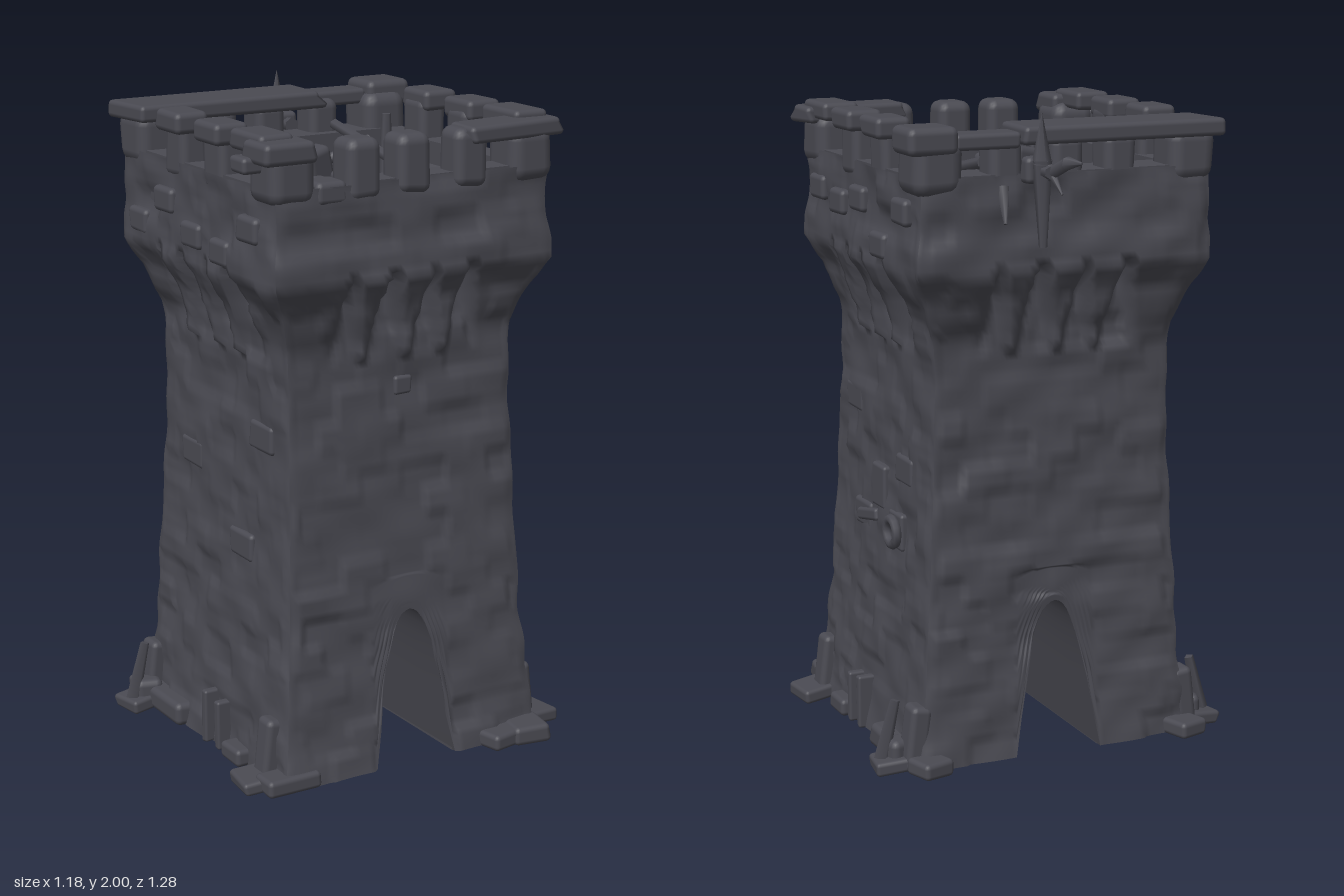
import * as THREE from 'three';
import { RoundedBoxGeometry } from 'three/addons/geometries/RoundedBoxGeometry.js';
import { ParametricGeometry } from 'three/addons/geometries/ParametricGeometry.js';

const stone = new THREE.MeshStandardMaterial({ color: 0x4a4a52 });
stone.name = 'dark stone';

const TOP = 1.815, ARCH = 0.132;
// half width of the tower at each height
const PROFILE = [[0, 0.468], [0.1, 0.452], [0.4, 0.425], [0.8, 0.404], [1.2, 0.39], [1.33, 0.4],
  [1.45, 0.44], [1.53, 0.485], [1.6, 0.485], [1.66, 0.472], [1.82, 0.474]];

const { lerp, clamp } = THREE.MathUtils;
const hash = (a, b = 0, c = 0) => {
  const s = Math.sin(a * 127.1 + b * 311.7 + c * 74.7) * 43758.5453;
  return s - Math.floor(s);
};
function halfWidth(y) {
  for (let i = 1; i < PROFILE.length; i++) {
    const [y0, w0] = PROFILE[i - 1], [y1, w1] = PROFILE[i];
    if (y <= y1) return lerp(w0, w1, (y - y0) / (y1 - y0));
  }
  return 0.474;
}
const centreZ = (y) => 0.09 - 0.025 * y;
const lumps = (x, y, z) => 0.008 * Math.sin(9 * x + 13 * y + 2) * Math.sin(11 * z - 7 * y)
  + 0.008 * Math.sin(33 * y + 8 * x) * Math.cos(23 * z + 19 * x);
const archHeight = (x) => {
  const t = Math.abs(x) / ARCH;
  return t >= 0.995 ? 0 : 0.49 * (1 - Math.pow(t, 2.6)) - 0.025 * t * (1 - t);
};

// point on wall k (0 front, 1 left, 2 back, 3 right), u from -1 to 1 across
function wallPoint(k, u, y, target) {
  const w = halfWidth(y), x = u * w;
  let d = w;
  // overhang with tapering brackets and deep recesses between them
  if (y > 1.27 && y < 1.55) {
    const rise = (y - 1.29) / 0.26;
    const gaps = [-0.15, 0, 0.125].map((c) => Math.abs(x - c) - 0.05 * rise - 0.006);
    const bracket = 1 - clamp(Math.min(...gaps) / 0.02, 0, 1);
    const corner = 1 - clamp((0.27 - 0.05 * rise - Math.abs(x)) / 0.03, 0, 1);
    d = lerp(0.388, w, Math.max(bracket, corner)) + bracket * (0.006 + 0.02 * (1 - rise));
  }
  // uneven masonry courses
  const row = Math.floor(y / 0.085);
  const col = Math.floor(x / 0.15 + 0.5 * (row % 2));
  if (Math.abs(u) < 0.94) d += 0.014 * (hash(row, col, k) - 0.5);
  const [px, pz] = [[x, d], [d, -x], [-x, -d], [-d, x]][k];
  // soften the vertical corners a little
  const s = (1 + 1.2 * lumps(px, y, pz)) * (1 - 0.018 * Math.pow(Math.abs(u), 16));
  return target.set(px * s, y, pz * s + centreZ(y));
}

function surface(fn, nu, nv) {
  const g = new ParametricGeometry(fn, nu, nv);
  g.computeVertexNormals();
  return g;
}

export function createModel() {
  const tower = new THREE.Group();
  tower.name = 'ruined tower';
  const roofDebris = new THREE.Group();
  roofDebris.name = 'roofDebris';
  roofDebris.position.y = 0.06;
  tower.add(roofDebris);
  let parent = tower;
  const add = (name, geometry, pos = [0, 0, 0], rot = [0, 0, 0]) => {
    const m = new THREE.Mesh(geometry, stone);
    m.name = name;
    m.position.set(...pos);
    m.rotation.set(...rot);
    parent.add(m);
    return m;
  };
  // worn block given by its extents
  let seed = 1;
  const block = (name, x0, x1, y0, y1, z0, z1, rot) => {
    const w = x1 - x0, h = y1 - y0, d = z1 - z0, r = Math.min(w, h, d) * 0.28;
    const g = new RoundedBoxGeometry(w, h, d, 2, r), p = g.attributes.position, n = seed++;
    for (let i = 0; i < p.count; i++) {
      const sx = Math.sign(p.getX(i)), sy = Math.sign(p.getY(i)), sz = Math.sign(p.getZ(i));
      const k = 1 - 0.1 * hash(sx + 2 * sy + 5 * sz, n);
      p.setXYZ(i, p.getX(i) * k, p.getY(i) * (sy > 0 ? 1 : k), p.getZ(i) * k);
    }
    return add(name, g, [(x0 + x1) / 2, (y0 + y1) / 2, (z0 + z1) / 2], rot);
  };
  const rod = (name, a, b, r0, r1 = r0, sides = 6) => {
    const A = new THREE.Vector3(...a), B = new THREE.Vector3(...b), dir = B.clone().sub(A);
    const m = add(name, new THREE.CylinderGeometry(r1, r0, dir.length(), sides), A.clone().add(B).multiplyScalar(0.5).toArray());
    m.quaternion.setFromUnitVectors(new THREE.Vector3(0, 1, 0), dir.normalize());
  };

  // four walls; front and back start at the arch line
  ['frontWall', 'leftWall', 'backWall', 'rightWall'].forEach((name, k) => {
    add(name, surface((s, t, target) => {
      const u = 2 * s - 1;
      const low = k % 2 ? 0.01 : Math.max(0.01, archHeight(u * 0.44));
      const y = t < 0.375 ? lerp(low, 0.6, t / 0.375) : lerp(0.6, TOP, (t - 0.375) / 0.625);
      wallPoint(k, u, y, target);
    }, 60, 96));
  });

  // passage running through the tower
  const front = new THREE.Vector3(), back = new THREE.Vector3();
  add('archPassage', surface((s, t, target) => {
    const u = (2 * s - 1) * 0.3, y = Math.max(0.01, archHeight(u * 0.44));
    wallPoint(0, u, y, front);
    wallPoint(2, -u, y, back);
    target.lerpVectors(back, front, t);
  }, 18, 8));
  for (const s of [-1, 1]) add('footing', new THREE.BoxGeometry(0.32, 0.02, 0.9), [s * 0.3, 0.018, 0.09]);

  // parapet ring and roof floor
  const path = (P, x0, x1, z0, z1) => new P([[x0, -z1], [x1, -z1], [x1, -z0], [x0, -z0]].map((p) => new THREE.Vector2(...p)));
  const ring = path(THREE.Shape, -0.462, 0.462, -0.415, 0.505);
  ring.holes.push(path(THREE.Path, -0.37, 0.38, -0.27, 0.41));
  add('parapet', new THREE.ExtrudeGeometry(ring, { depth: 0.2, bevelEnabled: false }), [0, 1.617, 0], [-Math.PI / 2, 0, 0]);
  add('roofFloor', new THREE.BoxGeometry(0.86, 0.04, 0.84), [0, 1.65, 0.045]);
  // sloping fillets where the floor meets the parapet
  for (const s of [-1, 1]) add('floorFillet', new THREE.BoxGeometry(0.12, 0.04, 0.68), [s * 0.345, 1.69, 0.07], [0, 0, s * 0.9]);
  add('floorFillet', new THREE.BoxGeometry(0.74, 0.04, 0.14), [0, 1.69, 0.385], [-0.9, 0, 0]);

  // corner merlons
  for (const x of [-0.41, 0.41]) for (const z of [-0.36, 0.45]) {
    block('cornerMerlon', x - 0.08, x + 0.08, 1.76, 1.93, z - 0.085, z + 0.085);
  }
  // side merlons with wider caps
  for (const s of [-1, 1]) for (const z of [-0.09, 0.15]) {
    block('sideMerlon', s * 0.425 - 0.05, s * 0.425 + 0.05, 1.76, 1.94, z - 0.062, z + 0.062);
    block('sideMerlonCap', s * 0.44 - 0.06, s * 0.44 + 0.06, 1.9, 1.967, z - 0.077, z + 0.077);
  }
  // front and back merlons
  for (const x of [-0.178, -0.007, 0.19]) {
    block('frontMerlon', x - 0.06, x + 0.06, 1.76, 1.945, 0.415, 0.535);
    block('backMerlon', x - 0.055, x + 0.055, 1.76, 1.92, -0.42, -0.3);
  }
  block('lowMerlon', -0.34, -0.23, 1.76, 1.83, 0.42, 0.53);

  // long capping slabs
  block('backSlab', -0.52, 0.175, 1.9, 1.955, -0.465, -0.255);
  block('frontSlab', 0.16, 0.525, 1.895, 1.95, 0.4, 0.54, [0, 0.1, 0]);
  block('frontCornerCap', -0.52, -0.34, 1.89, 1.955, 0.4, 0.55);
  block('frontCornerChip', -0.545, -0.46, 1.86, 1.91, 0.38, 0.47);
  block('leftRearCap', 0.35, 0.515, 1.88, 1.965, -0.455, -0.3);
  block('rearBeam', 0.15, 0.37, 1.89, 1.94, -0.44, -0.33);
  for (const s of [-1, 1]) block('sideCap', s * 0.435 - 0.06, s * 0.435 + 0.06, 1.91, 1.97, 0.29, 0.48);

  for (const s of [-1, 1]) {
    // loose stones along the overhang band
    for (let i = 0; i < 5; i++) {
      const z = -0.3 + i * 0.17, y = 1.53 + 0.17 * hash(i, s);
      block('bandStone', s * 0.465 - 0.03, s * 0.465 + 0.03, y, y + 0.08, z - 0.06, z + 0.06);
    }
    // proud stones in the side walls
    [[0.68, 0.2], [0.89, -0.12], [1.04, 0.3]].forEach(([y, z]) => {
      const x = s * (halfWidth(y) - 0.016);
      block('wallStone', x - 0.025, x + 0.025, y - 0.045, y + 0.045, z - 0.07, z + 0.07);
    });
  }
  block('frontKnob', -0.03, 0.035, 1.15, 1.21, 0.42, 0.458);

  // side window slab and iron ring
  block('windowSlab', 0.38, 0.42, 0.73, 0.87, 0.01, 0.12);
  block('windowSill', 0.38, 0.43, 0.67, 0.71, 0.06, 0.23, [0.2, 0, 0]);
  add('wallRing', new THREE.TorusGeometry(0.04, 0.016, 8, 14), [0.43, 0.69, -0.08], [0, Math.PI / 2, 0]);
  block('ringPlate', 0.38, 0.42, 0.63, 0.75, -0.13, -0.02);

  // rubble around the foot
  for (const s of [-1, 1]) {
    const rubble = (x0, x1, y1, z0, z1, rot) =>
      block('rubble', Math.min(s * x0, s * x1), Math.max(s * x0, s * x1), 0.005, y1, z0, z1, rot);
    rubble(0.42, 0.57, 0.05, 0.38, 0.52, [0, s * 0.15, s * -0.1]);
    rubble(0.42, 0.49, 0.21, 0.4, 0.48, [0, 0, s * 0.12]);
    rubble(0.43, 0.49, 0.18, 0.07, 0.1);
    rubble(0.43, 0.49, 0.17, 0.15, 0.18);
    rubble(0.42, 0.51, 0.08, -0.3, -0.05);
    rubble(0.42, 0.49, 0.21, -0.36, -0.27, [0, 0, s * 0.12]);
    rubble(0.44, 0.585, 0.05, -0.35, -0.23, [0, s * -0.15, s * -0.1]);
    rubble(0.45, 0.54, 0.1, -0.32, -0.24, [0, s * 0.3, 0]);
    rubble(0.38, 0.49, 0.06, -0.44, -0.33, [0, 0.3, 0]);
    rubble(0.43, 0.5, 0.06, 0.2, 0.32);
    rod('leaningShard', [s * 0.55, 0.04, -0.28], [s * 0.505, 0.22, -0.28], 0.026, 0.016, 4);
  }
  block('frontRubble', 0.23, 0.36, 0.005, 0.06, 0.5, 0.625, [0, 0.2, 0]);
  block('frontRubble', 0.33, 0.46, 0.005, 0.065, 0.5, 0.635, [0, -0.15, 0]);
  block('frontRubble', -0.53, -0.34, 0.005, 0.06, 0.47, 0.57);

  // broken hatch frame and timbers on the roof
  parent = roofDebris;
  block('hatch', -0.2, 0, 1.6, 1.635, -0.17, 0.25);
  rod('timber', [-0.2, 1.66, -0.17], [0, 1.66, -0.17], 0.012);
  rod('timber', [-0.2, 1.66, -0.17], [-0.2, 1.66, 0.25], 0.012);
  rod('timber', [0.22, 1.78, -0.3], [0.25, 1.66, 0.26], 0.018);
  rod('timber', [-0.1, 1.66, 0.26], [0.35, 1.72, 0.26], 0.014);
  rod('timber', [0.1, 1.7, -0.14], [0.23, 1.76, -0.1], 0.016);
  rod('timber', [0.34, 1.6, -0.18], [0.34, 1.82, -0.18], 0.025, 0.015);
  rod('timber', [0.34, 1.6, 0.2], [0.34, 1.76, 0.27], 0.02);
  rod('timber', [-0.17, 1.6, 0.24], [-0.2, 1.8, 0.22], 0.022, 0.01);
  block('debris', -0.11, 0, 1.62, 1.78, 0, 0.08, [0, 0.3, 0.2]);
  block('debris', -0.11, 0.01, 1.62, 1.74, 0.2, 0.27);
  block('debris', -0.26, -0.13, 1.66, 1.72, 0.06, 0.12, [0, 0.1, 0.2]);
  block('debris', -0.18, -0.13, 1.62, 1.8, -0.03, 0.1, [0.2, 0, 0]);
  block('debris', -0.1, -0.05, 1.62, 1.7, 0.07, 0.22);
  for (const [x, z, r] of [[0.13, -0.06, 0.045], [0.13, 0.15, 0.05], [0.17, 0.09, 0.035]]) {
    add('roundStone', new THREE.SphereGeometry(r, 10, 8), [x, 1.64, z]);
  }

  // spear head and splinters hanging off the back
  parent = tower;
  rod('spearTip', [0.115, 1.85, -0.485], [0.115, 2, -0.485], 0.03, 0);
  rod('spearTail', [0.115, 1.86, -0.485], [0.115, 1.61, -0.495], 0.03, 0.012);
  rod('spearBracket', [0.12, 1.83, -0.4], [0.11, 1.83, -0.53], 0.025, 0.018);
  rod('splinter', [0.1, 1.82, -0.5], [0.08, 1.86, -0.58], 0.02);
  rod('splinter', [0.08, 1.86, -0.58], [0.06, 1.865, -0.635], 0.022, 0.004);
  rod('splinter', [0.1, 1.84, -0.5], [0.09, 1.77, -0.57], 0.018, 0.003);
  rod('splinter', [0.21, 1.78, -0.42], [0.22, 1.68, -0.465], 0.022, 0.006);
  block('backBoss', 0.08, 0.16, 1.79, 1.87, -0.48, -0.42);
  return tower;
}
